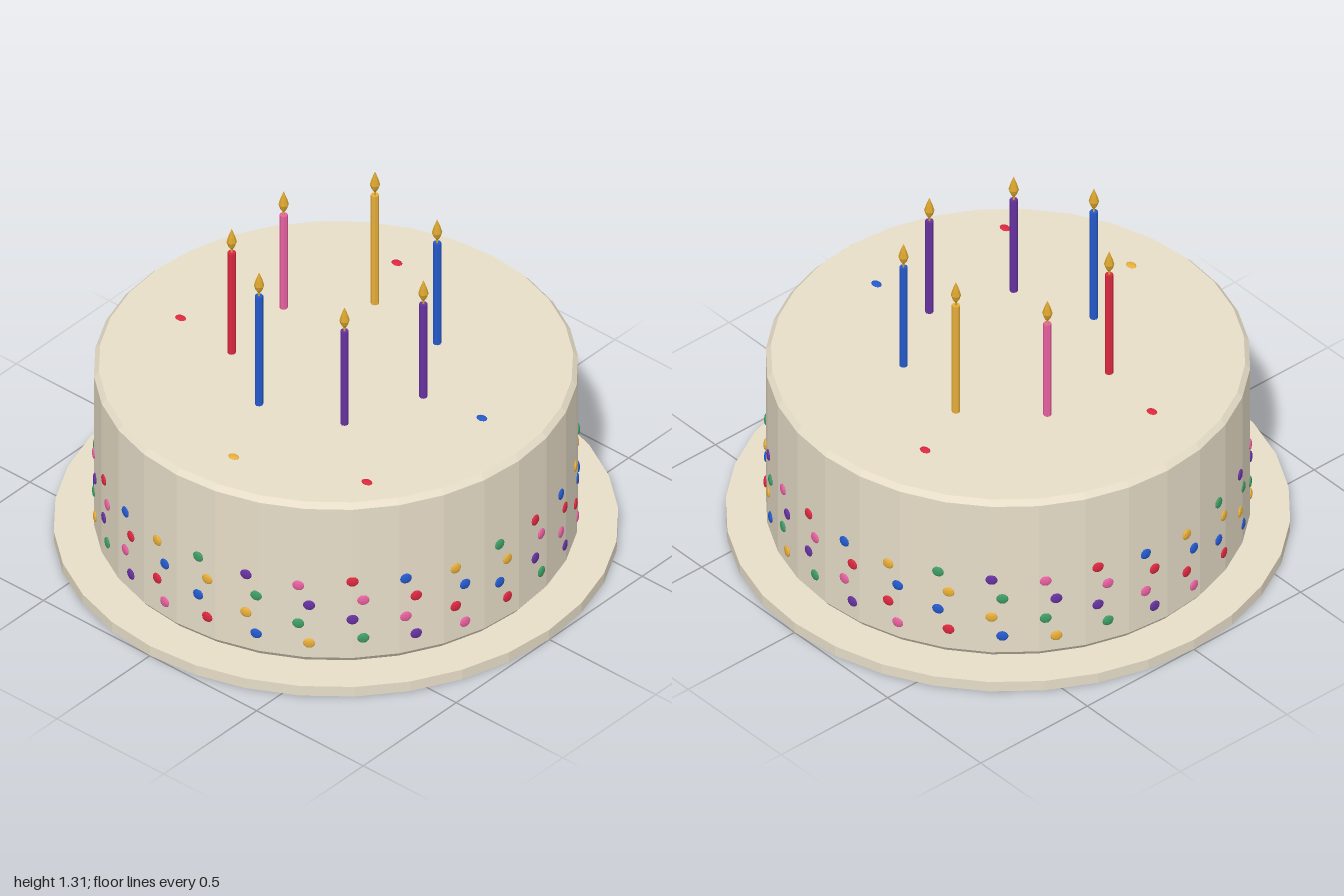
import * as THREE from 'three';

const mat = (name, color, opts = {}) => {
  const m = new THREE.MeshStandardMaterial({ color, flatShading: true, ...opts });
  m.name = name;
  return m;
};

export function createModel() {
  const cake = new THREE.Group();
  cake.name = 'birthdayCake';

  const cream = mat('cream', 0xede3cd);
  const red = mat('red', 0xdc2840);
  const pink = mat('pink', 0xf064a6);
  const purple = mat('purple', 0x6632a0);
  const green = mat('green', 0x3f9c64);
  const yellow = mat('yellow', 0xecb23c);
  const blue = mat('blue', 0x2459cc);
  const flameGold = mat('flameGold', 0xd9a42e);
  const palette = [red, pink, purple, green, yellow, blue];

  const add = (parent, name, geo, material, x = 0, y = 0, z = 0) => {
    const mesh = new THREE.Mesh(geo, material);
    mesh.name = name;
    mesh.position.set(x, y, z);
    parent.add(mesh);
    return mesh;
  };
  const lathe = (pts, sides) =>
    new THREE.LatheGeometry(pts.map(([r, y]) => new THREE.Vector2(r, y)), sides);

  // Serving plate
  add(cake, 'plate', new THREE.CylinderGeometry(1, 1, 0.042, 32), cream, 0, 0.021, 0);

  // Cake body with a small bevel at top and bottom
  add(cake, 'cakeBody', lathe([
    [0, 0.042], [0.84, 0.042], [0.858, 0.065], [0.858, 0.715], [0.84, 0.735], [0, 0.735],
  ], 32), cream);

  // Four staggered rows of sprinkles around the side
  const sprinkles = new THREE.Group();
  sprinkles.name = 'sideSprinkles';
  cake.add(sprinkles);
  const dot = new THREE.SphereGeometry(0.022, 10, 6);
  dot.scale(1, 0.95, 0.35);
  const count = 28;
  const wobble = [0, -0.022, -0.011];
  for (let row = 0; row < 4; row++) {
    for (let i = 0; i < count; i++) {
      const a = ((i + (row % 2 ? 0.5 : 0.3)) / count) * Math.PI * 2;
      const y = 0.15 + row * 0.083 + wobble[i % 3];
      const m = add(sprinkles, 'sideSprinkle', dot, palette[(i + 5 * row) % 6],
        Math.cos(a) * 0.857, y, Math.sin(a) * 0.857);
      m.rotation.y = Math.PI / 2 - a;
    }
  }

  // Loose sprinkles on the top
  const topDot = new THREE.SphereGeometry(0.022, 10, 6);
  topDot.scale(1, 0.25, 0.75);
  [[-0.225, -0.585, red], [0.61, -0.085, blue], [-0.585, 0.165, red],
    [0.555, 0.47, red], [0.1, 0.665, yellow],
  ].forEach(([x, z, m]) => add(cake, 'topSprinkle', topDot, m, x, 0.736, z));

  // Candles, each with a wick and a flame: x, z, top height, colour
  const flame = lathe([[0, 0.008], [0.012, 0.026], [0.0185, 0.046], [0.012, 0.07], [0, 0.102]], 8);
  const wick = new THREE.CylinderGeometry(0.004, 0.004, 0.025, 6);
  [[-0.127, -0.355, 1.21, yellow], [0.195, -0.32, 1.175, blue],
    [-0.353, -0.123, 1.142, pink], [0.368, -0.048, 1.142, purple],
    [-0.315, 0.2, 1.175, red], [0.264, 0.257, 1.142, purple],
    [-0.04, 0.368, 1.21, blue],
  ].forEach(([x, z, top, m]) => {
    const candle = new THREE.Group();
    candle.name = 'candle';
    candle.position.set(x, 0, z);
    cake.add(candle);
    const h = top - 0.73;
    add(candle, 'candleStick', new THREE.CylinderGeometry(0.015, 0.015, h, 8), m, 0, 0.73 + h / 2, 0);
    add(candle, 'wick', wick, flameGold, 0, top + 0.008, 0);
    add(candle, 'flame', flame, flameGold, 0, top, 0);
  });

  return cake;
}
